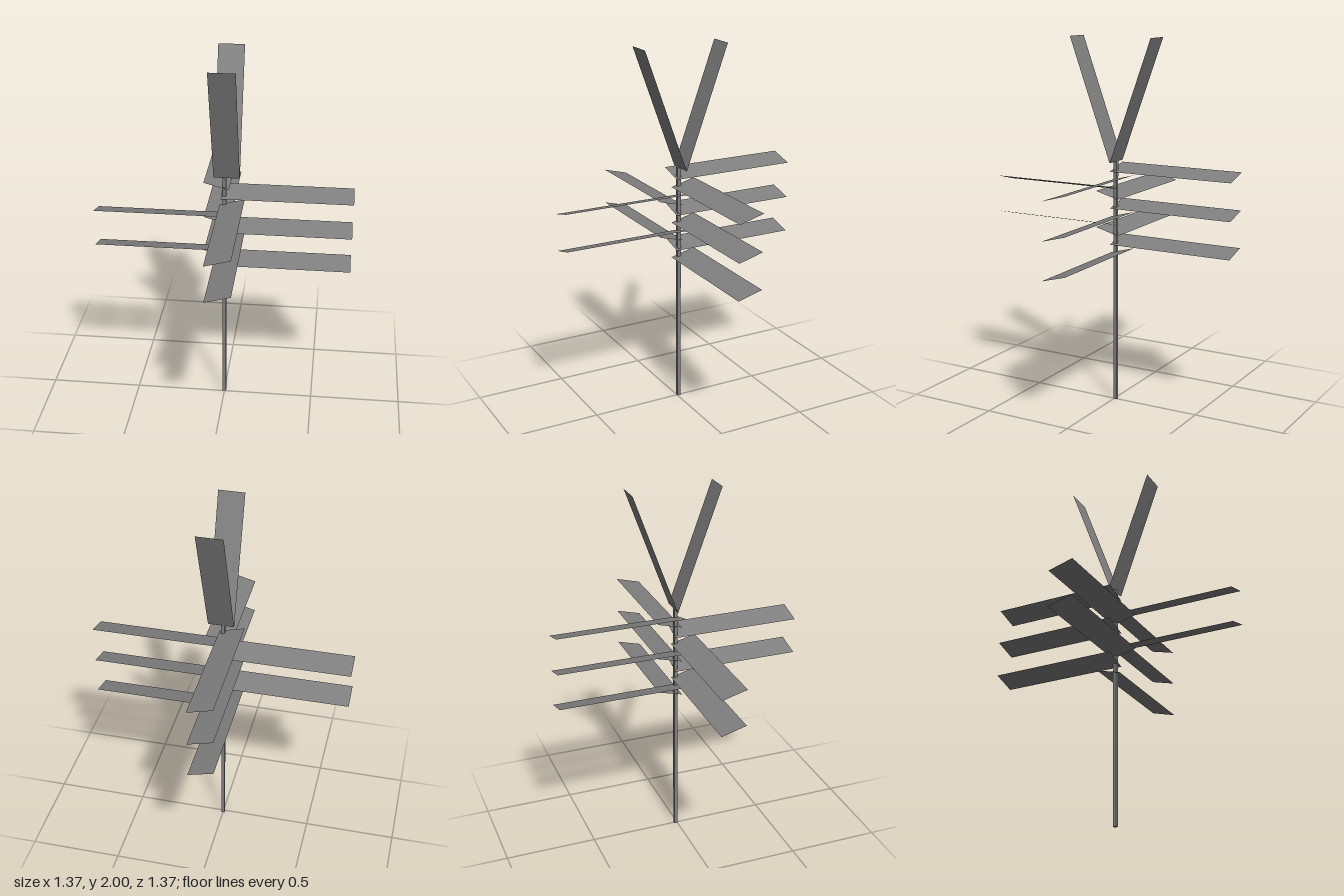
import * as THREE from 'three';

export function createModel() {
  const model = new THREE.Group();
  const grey = new THREE.MeshStandardMaterial({ color: 0x808080, side: THREE.DoubleSide });
  grey.name = 'plain grey';
  const add = (name, geometry, x, y, z, turn = 0) => {
    const mesh = new THREE.Mesh(geometry, grey);
    mesh.name = name;
    mesh.position.set(x, y, z);
    mesh.rotation.y = turn;
    model.add(mesh);
  };

  // Thin upright stem
  add('stem', new THREE.BoxGeometry(0.019, 1.345, 0.019), 0, 0.6725, -0.009);

  // Flat leaves, each pitched and set off to one side, climbing in quarter turns
  const leaf = new THREE.PlaneGeometry(0.703, 0.14);
  leaf.rotateX(-Math.PI / 2 + THREE.MathUtils.degToRad(15));
  leaf.translate(0.3355, 0, -0.041);
  for (let i = 0; i < 10; i++) {
    add(`leaf${i + 1}`, leaf, -0.0015, 0.854 + i * 0.05, -0.0025, i * Math.PI / 2);
  }

  // Two crown leaves forming a V
  for (const side of [-1, 1]) {
    const crown = new THREE.PlaneGeometry(0.14, 0.7);
    crown.translate(0, 0.35, 0);
    crown.rotateX(side * THREE.MathUtils.degToRad(20));
    add(side > 0 ? 'frontCrownLeaf' : 'backCrownLeaf', crown, 0.01, 1.342, -0.016);
  }
  return model;
}
